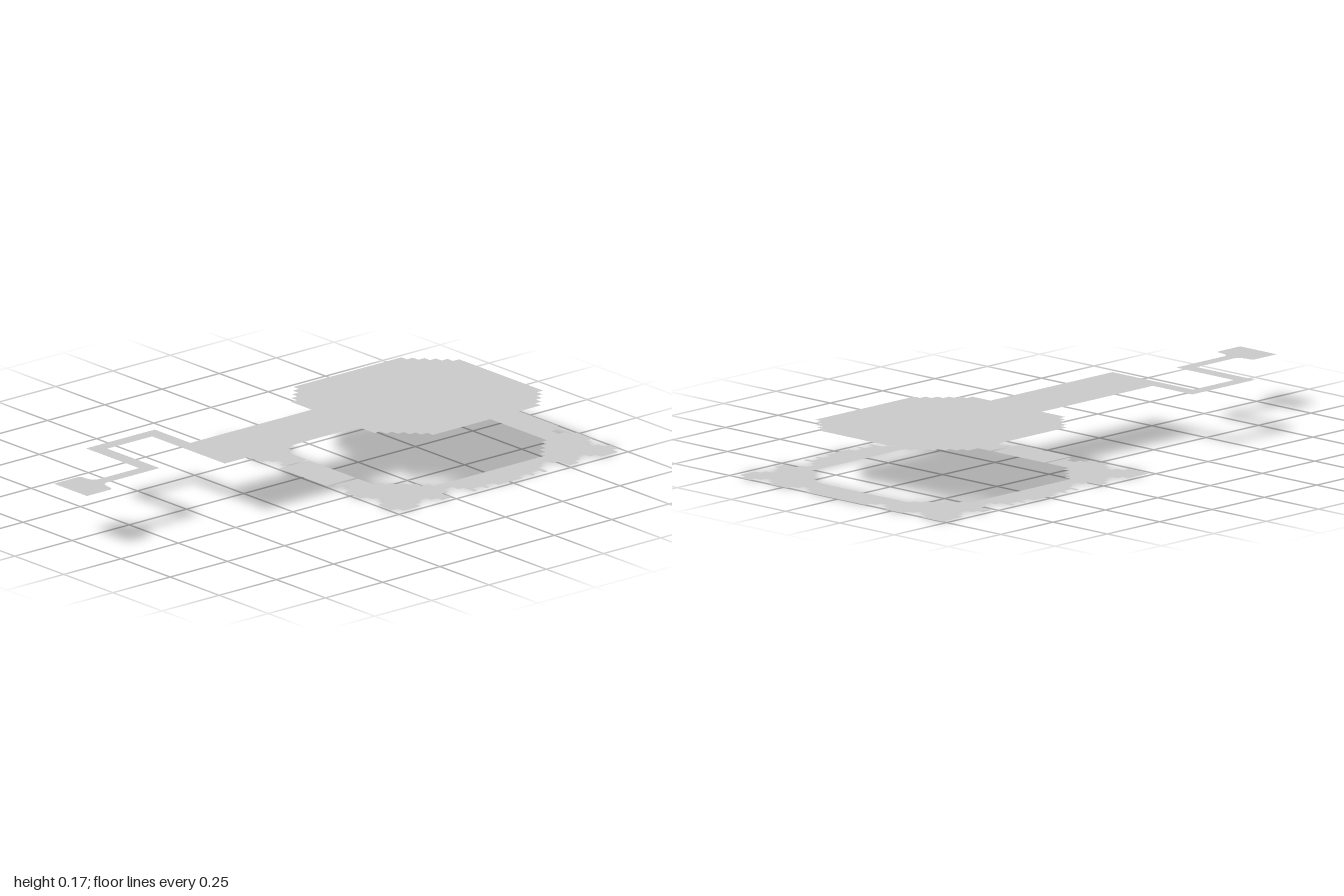
import * as THREE from 'three';

const H = 0.175; // gap between the two sheets

// flat sheet from [x, z] corner points
function sheet(name, points, y) {
  const shape = new THREE.Shape(points.map(([x, z]) => new THREE.Vector2(x, -z)));
  const geometry = new THREE.ShapeGeometry(shape);
  geometry.rotateX(-Math.PI / 2);
  const material = new THREE.MeshStandardMaterial({ color: 0xcccccc, side: THREE.DoubleSide });
  const mesh = new THREE.Mesh(geometry, material);
  mesh.name = name;
  mesh.position.y = y;
  return mesh;
}

// square-edged profile: [start, depth] pairs become [position, depth] corners
function notches(profile, end) {
  return profile.flatMap(([t, d], i) => [[t, d], [i + 1 < profile.length ? profile[i + 1][0] : end, d]]);
}

// staircase between two corners; alongX picks the direction of the first tread
function stairs([x0, z0], [x1, z1], alongX, n = 5) {
  const pts = [[x0, z0]];
  for (let i = 0; i < n; i++) {
    const xa = x0 + (x1 - x0) * i / n, xb = x0 + (x1 - x0) * (i + 1) / n;
    const za = z0 + (z1 - z0) * i / n, zb = z0 + (z1 - z0) * (i + 1) / n;
    pts.push(alongX ? [xb, za] : [xa, zb], [xb, zb]);
  }
  return pts;
}

// stepped octagon open at the bottom, from the right of the opening round to the left
function octagon(grow, neckL, neckR) {
  const side = 0.34 + grow, flat = 0.2 + grow * 0.5;
  const top = -0.862 - grow, bottom = -0.15 + grow;
  const zTop = -0.73 - grow * 0.5, zBottom = -0.285 + grow * 0.5;
  return [
    [neckR, bottom],
    ...stairs([flat, bottom], [side, zBottom], false),
    ...stairs([side, zTop], [flat, top], false),
    ...stairs([-flat, top], [-side, zTop], false),
    ...stairs([-side, zBottom], [-flat, bottom], false),
    [neckL, bottom],
  ];
}

// upper sheet: patch, neck, folded feed line and foot
function upperPatch() {
  return [
    ...octagon(0, -0.12, 0.117),
    [-0.12, 0.38], [-0.302, 0.38], [-0.302, 0.68], [-0.032, 0.68],
    [-0.032, 0.86], [-0.04, 0.876], [-0.06, 0.882], [-0.085, 0.885], [-0.093, 0.895],
    [-0.093, 1], [0.076, 1],
    [0.076, 0.895], [0.066, 0.885], [0.04, 0.882], [0.02, 0.876], [0.012, 0.86],
    [0.012, 0.628], [-0.254, 0.628], [-0.254, 0.433], [0.117, 0.433],
  ];
}

// lower sheet: notched frame around the opening
function lowerFrame() {
  const a = 0.026, b = 0.052;
  const topEdge = notches([
    [-0.48, 0], [-0.385, a], [-0.352, b], [-0.32, a], [-0.292, 0], [-0.21, a], [-0.185, b],
    [-0.15, a], [-0.122, 0], [0.145, a], [0.173, b], [0.208, a], [0.236, 0], [0.32, a],
    [0.345, b], [0.378, a], [0.405, 0], [0.45, a],
  ], 0.48).map(([x, d]) => [x, -1 + d]);

  const bottomLeft = notches([
    [-0.48, 0], [-0.385, a], [-0.355, b], [-0.32, a], [-0.292, 0], [-0.21, a], [-0.185, b], [-0.15, a],
  ], -0.13).map(([x, d]) => [x, -0.01 - d]);

  const bottomRight = notches([
    [0.13, a], [0.15, b], [0.18, a], [0.208, 0], [0.292, a], [0.32, b], [0.355, a], [0.38, 0], [0.45, a],
  ], 0.48).map(([x, d]) => [x, -0.01 - d]);

  // side profile, measured from the middle of the side and mirrored
  const half = notches([
    [0, 0], [0.055, a], [0.092, 0], [0.108, a], [0.145, 0], [0.162, b], [0.185, 0.08],
    [0.228, b], [0.256, 0], [0.3, a], [0.326, b], [0.368, a], [0.394, 0],
  ], 0.495).slice(1, -1);
  const down = [...half.map(([t, d]) => [-t, d]).reverse(), ...half];
  const right = down.map(([t, d]) => [0.48 - d, -0.505 + t]);
  const left = down.map(([t, d]) => [-0.48 + d, -0.505 + t]);

  return [
    ...topEdge, ...right, ...bottomRight.reverse(),
    ...octagon(0.012, -0.13, 0.13),
    ...bottomLeft.reverse(), ...left.reverse(),
  ];
}

export function createModel() {
  const model = new THREE.Group();
  model.name = 'patchAntenna';
  model.add(sheet('patchAndFeedLine', upperPatch(), H));
  model.add(sheet('notchedFrame', lowerFrame(), 0));
  // short strip below the neck, set between the two slits of the frame
  model.add(sheet('stripUnderNeck', [[-0.12, -0.138], [0.117, -0.138], [0.117, -0.01], [-0.12, -0.01]], 0));
  return model;
}
